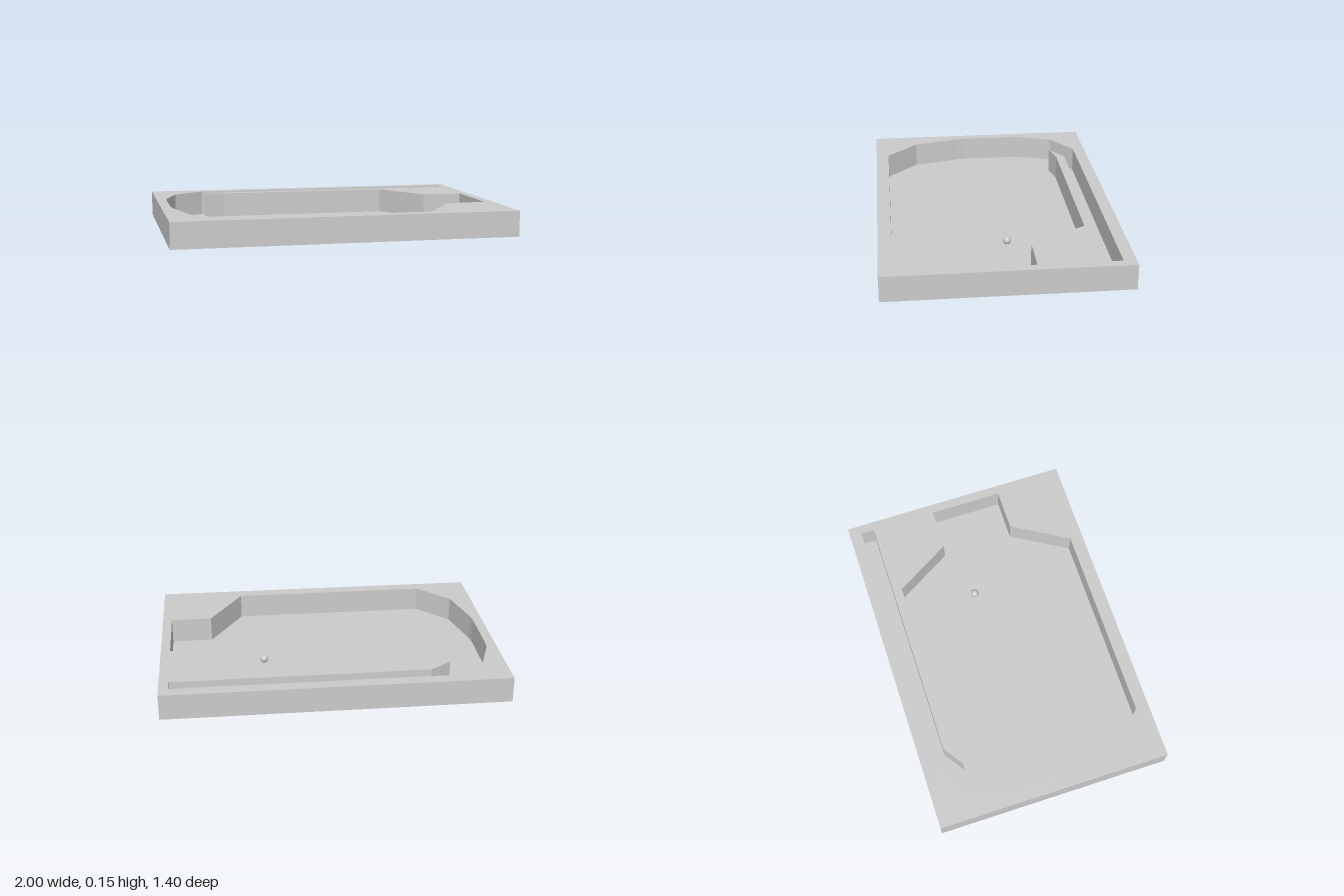
import * as THREE from 'three';

const TOP = 0.153;      // height of the rim
const BOTTOM = 0.002;   // underside of the tray
const FLOOR = 0.004;    // floor of the recess
const HALF_X = 1, HALF_Z = 0.698;

const toPoints = (pairs) => pairs.map(([x, z]) => new THREE.Vector2(x, z));

// Extrudes a plan shape (x, z) downwards from the given height
function slab(shape, top, bottom) {
  const geometry = new THREE.ExtrudeGeometry(shape, { depth: top - bottom, bevelEnabled: false });
  geometry.rotateX(Math.PI / 2);
  geometry.translate(0, top, 0);
  return geometry;
}

function rectangle() {
  return new THREE.Shape(toPoints([
    [-HALF_X, -HALF_Z], [HALF_X, -HALF_Z], [HALF_X, HALF_Z], [-HALF_X, HALF_Z],
  ]));
}

export function createModel() {
  const group = new THREE.Group();
  group.name = 'ballTray';
  const material = new THREE.MeshStandardMaterial({ color: 0xcccccc });

  const add = (name, geometry) => {
    const mesh = new THREE.Mesh(geometry, material);
    mesh.name = name;
    group.add(mesh);
    return mesh;
  };

  // Block with the play area and the long launch lane cut out as one recess
  const block = rectangle();
  block.holes.push(new THREE.Path(toPoints([
    // launch lane along the back
    [-0.68, -0.625], [0.945, -0.625], [0.945, -0.545], [-0.555, -0.545],
    // pointed end of the dividing wall
    [-0.68, -0.46], [-0.555, -0.49],
    // funnel into the end pocket and out again
    [0.5, -0.49], [0.7, -0.155], [0.945, -0.155], [0.945, 0.285], [0.7, 0.285], [0.5, 0.62],
    // rounded far end
    [-0.68, 0.62], [-0.865, 0.43], [-0.935, 0.145], [-0.942, 0.09],
    [-0.942, -0.22], [-0.935, -0.295], [-0.865, -0.495],
  ])));
  add('walls', slab(block, TOP, FLOOR));

  // Thin floor under the recess
  add('floor', slab(rectangle(), FLOOR, BOTTOM));

  // Ball resting in the floor, just showing underneath
  const radius = 0.024;
  add('ball', new THREE.SphereGeometry(radius, 32, 16)).position.set(0.385, radius, -0.055);

  return group;
}
